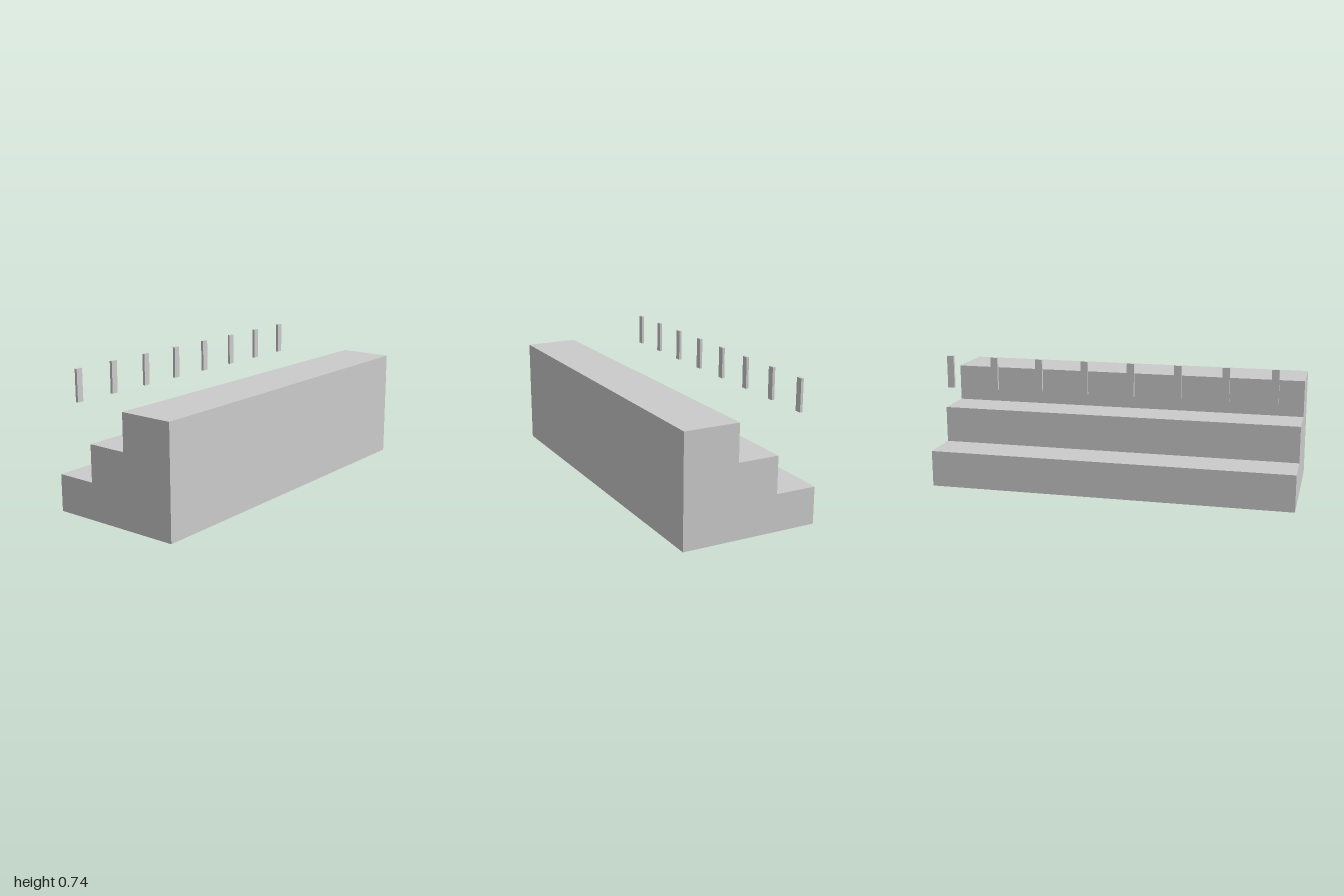
import * as THREE from 'three';

export function createModel() {
  const model = new THREE.Group();
  const material = new THREE.MeshStandardMaterial({ color: 0xcccccc });

  // Stepped block: side profile as (-z, y), extruded along x
  const profile = [
    [-0.375, 0], [0.375, 0], [0.375, 0.2], [0.15, 0.2],
    [0.15, 0.4], [-0.075, 0.4], [-0.075, 0.6], [-0.375, 0.6],
  ].map(([x, y]) => new THREE.Vector2(x, y));
  const blockGeometry = new THREE.ExtrudeGeometry(new THREE.Shape(profile), {
    depth: 2, bevelEnabled: false,
  });
  blockGeometry.translate(0, 0, -1).rotateY(Math.PI / 2);
  const block = new THREE.Mesh(blockGeometry, material);
  block.name = 'steppedBlock';
  model.add(block);

  // Row of thin upright slats floating above the lowest step
  const slats = new THREE.Group();
  slats.name = 'slats';
  const slatGeometry = new THREE.BoxGeometry(0.0375, 0.175, 0.015);
  for (let i = 0; i < 8; i++) {
    const slat = new THREE.Mesh(slatGeometry, material);
    slat.name = `slat${i + 1}`;
    slat.position.set(-0.875 + i * 0.25, 0.65, -0.35);
    slats.add(slat);
  }
  model.add(slats);

  return model;
}
